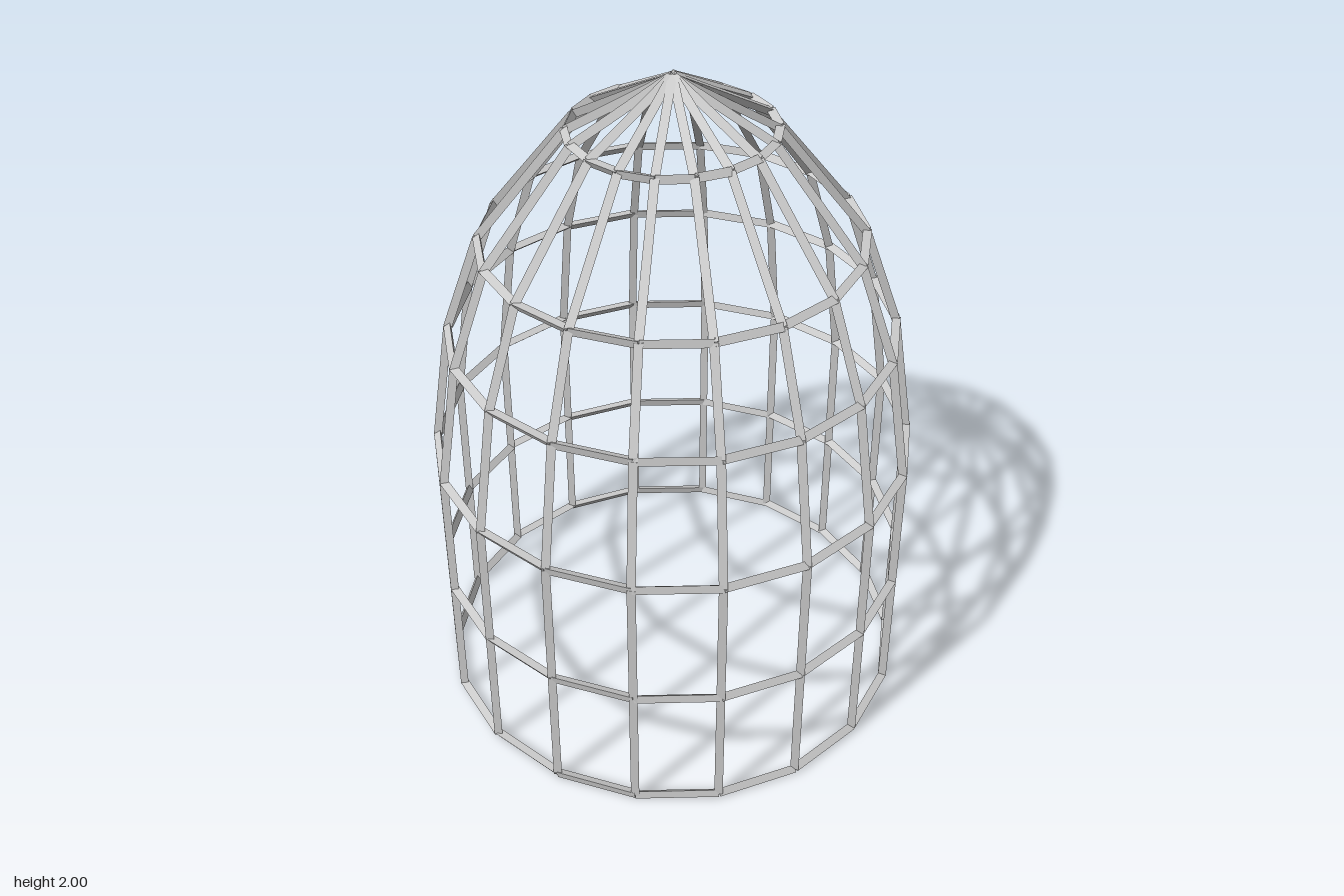
import * as THREE from 'three';
import { mergeGeometries } from 'three/addons/utils/BufferGeometryUtils.js';

const SIDES = 18;
const BAR = 0.0145;
const UP = new THREE.Vector3(0, 1, 0);

// Hoop levels from the ground up: [height, radius along x, radius along z]
const LEVELS = [
  [0.0145, 0.712, 0.731],
  [0.415, 0.712, 0.731],
  [0.828, 0.712, 0.731],
  [1.214, 0.652, 0.668],
  [1.508, 0.547, 0.564],
  [1.833, 0.29, 0.296],
];
const APEX = new THREE.Vector3(0, 1.986, 0);

function joint(level, i) {
  const [y, rx, rz] = LEVELS[level];
  const a = (i / SIDES) * Math.PI * 2;
  return new THREE.Vector3(Math.sin(a) * rx, y, Math.cos(a) * rz);
}

// Straight three-sided rod between two points
function rod(a, b) {
  const dir = b.clone().sub(a);
  const g = new THREE.CylinderGeometry(BAR, BAR, dir.length(), 3, 1, false, Math.PI);
  g.applyQuaternion(new THREE.Quaternion().setFromUnitVectors(UP, dir.normalize()));
  const mid = a.clone().add(b).multiplyScalar(0.5);
  return g.translate(mid.x, mid.y, mid.z);
}

export function createModel() {
  const group = new THREE.Group();
  group.name = 'domedCage';
  const material = new THREE.MeshStandardMaterial({ color: 0xcccccc, flatShading: true });

  const add = (name, rods) => {
    const mesh = new THREE.Mesh(mergeGeometries(rods), material);
    mesh.name = name;
    group.add(mesh);
  };

  // Horizontal hoops
  LEVELS.forEach((_, level) => {
    const rods = [];
    for (let i = 0; i < SIDES; i++) rods.push(rod(joint(level, i), joint(level, i + 1)));
    add(`hoop${level + 1}`, rods);
  });

  // Upright ribs, bending inward to meet at the apex
  for (let i = 0; i < SIDES; i++) {
    const path = [...LEVELS.map((_, level) => joint(level, i)), APEX];
    add(`rib${i + 1}`, path.slice(1).map((p, k) => rod(path[k], p)));
  }

  return group;
}
